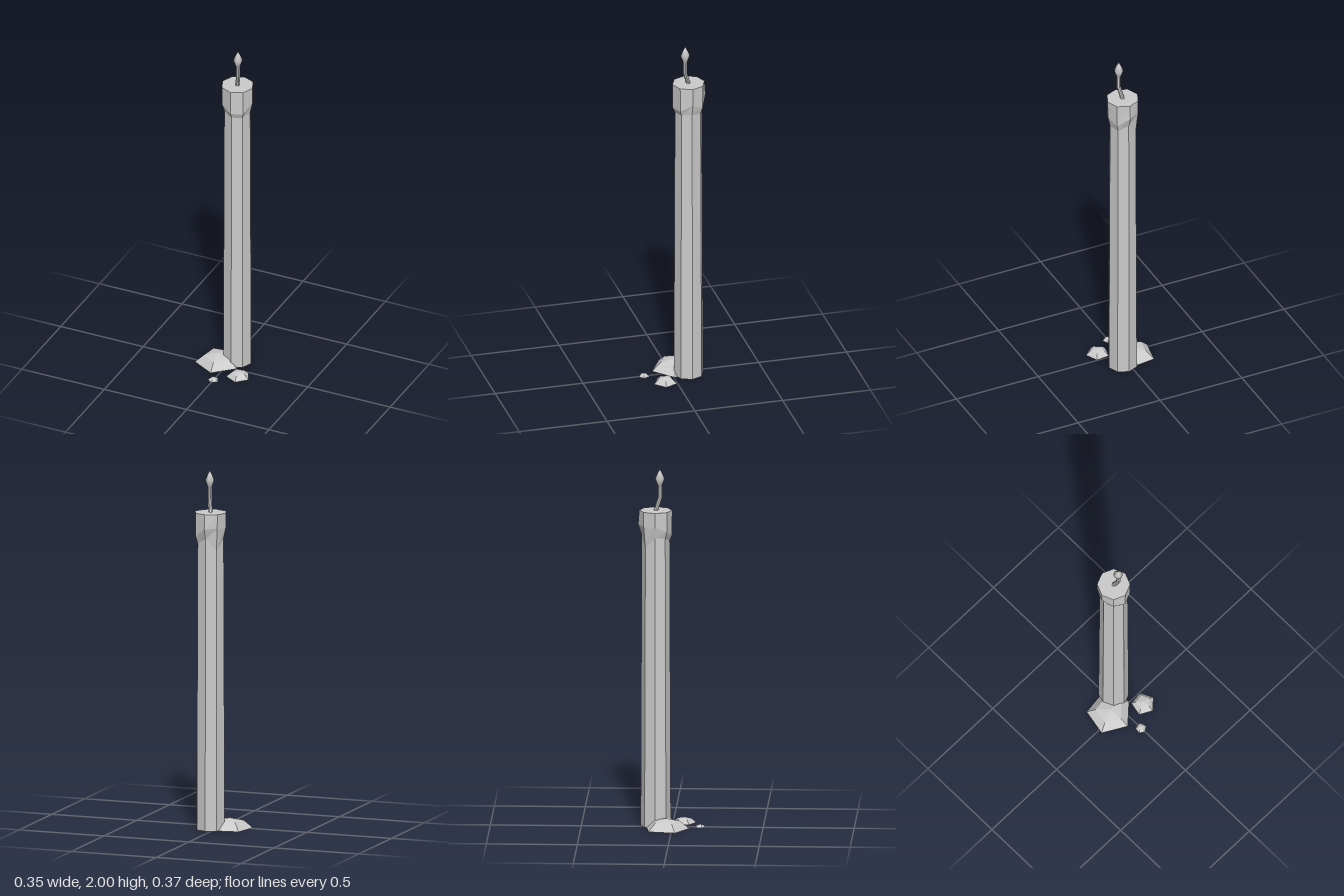
import * as THREE from 'three';

const flat = new THREE.MeshStandardMaterial({ color: 0xcccccc, flatShading: true });
const smooth = new THREE.MeshStandardMaterial({ color: 0xcccccc });

// Joins rings of [x, y, z] points, listed bottom to top and counterclockwise
// from above, and closes both ends with a fan to the given centre points.
function loft(name, rings, bottom, top) {
  const pos = [];
  const tri = (...pts) => pts.forEach((p) => pos.push(...p));
  const n = rings[0].length;
  const last = rings[rings.length - 1];
  for (let i = 0; i < n; i++) {
    const j = (i + 1) % n;
    for (let r = 0; r < rings.length - 1; r++) {
      const lo = rings[r], hi = rings[r + 1];
      tri(lo[i], lo[j], hi[j]);
      tri(lo[i], hi[j], hi[i]);
    }
    tri(bottom, rings[0][j], rings[0][i]);
    tri(top, last[i], last[j]);
  }
  const geo = new THREE.BufferGeometry();
  geo.setAttribute('position', new THREE.Float32BufferAttribute(pos, 3));
  geo.computeVertexNormals();
  const mesh = new THREE.Mesh(geo, flat);
  mesh.name = name;
  return mesh;
}

// Eight-sided ring; radius and height are functions of the corner index.
function ring(cx, cz, radius, height) {
  return Array.from({ length: 8 }, (_, i) => {
    const a = (i * Math.PI) / 4, r = radius(i);
    return [cx + r * Math.cos(a), height(i), cz - r * Math.sin(a)];
  });
}

// Five-sided drop of hardened wax: footprint, narrower shoulder and peak.
function waxDrop(name, outline, cx, cz, shoulder, peak) {
  const at = (s, y) => outline.map(([x, z]) => [cx + (x - cx) * s, y, cz + (z - cz) * s]);
  return loft(name, [at(1, 0), at(0.61, shoulder)], [cx, 0, cz], [cx, peak, cz]);
}

export function createModel() {
  const group = new THREE.Group();
  group.name = 'candle';
  const cx = 0.03, cz = -0.092;

  // Candle body with an uneven lip of melted wax
  const lip = [1.67, 1.64, 1.69, 1.69, 1.69, 1.66, 1.63, 1.63];
  const neckDrop = [0.06, 0.04, 0.06, 0.12, 0.06, 0.04, 0.03, 0.03];
  group.add(loft('candleBody', [
    ring(cx, cz, () => 0.083, () => 0),
    ring(cx, cz, () => 0.077, (i) => lip[i] - neckDrop[i]),
    ring(cx, cz, (i) => (i === 2 ? 0.097 : 0.09), (i) => lip[i]),
    ring(cx, cz, () => 0.091, () => 1.77),
  ], [cx, 0, cz], [cx, 1.77, cz]));

  // Bent wick
  const path = [[0.03, 1.765, -0.092], [0.044, 1.84, -0.068], [0.044, 1.92, -0.068]];
  group.add(loft('wick',
    path.map(([x, y, z]) => ring(x, z, () => 0.012, () => y)), path[0], path[2]));

  // Flame
  const profile = [[0, 1.895], [0.012, 1.905], [0.026, 1.945], [0.013, 1.975], [0, 2]];
  const flame = new THREE.Mesh(
    new THREE.LatheGeometry(profile.map(([r, y]) => new THREE.Vector2(r, y)), 8), smooth);
  flame.position.set(0.043, 0, -0.07);
  flame.name = 'flame';
  group.add(flame);

  // Wax drops around the foot
  group.add(waxDrop('largeWaxDrop',
    [[-0.147, -0.124], [-0.175, 0.022], [-0.045, 0.095], [0.065, -0.007], [0.01, -0.145]],
    -0.06, -0.03, 0.043, 0.058));
  group.add(waxDrop('mediumWaxDrop',
    [[0.063, 0.012], [0.047, 0.09], [0.117, 0.127], [0.174, 0.073], [0.141, 0.003]],
    0.108, 0.061, 0.024, 0.033));
  group.add(waxDrop('smallWaxDrop',
    [[-0.023, 0.13], [-0.03, 0.167], [0.003, 0.185], [0.031, 0.16], [0.015, 0.125]],
    0, 0.153, 0.011, 0.015));
  return group;
}
